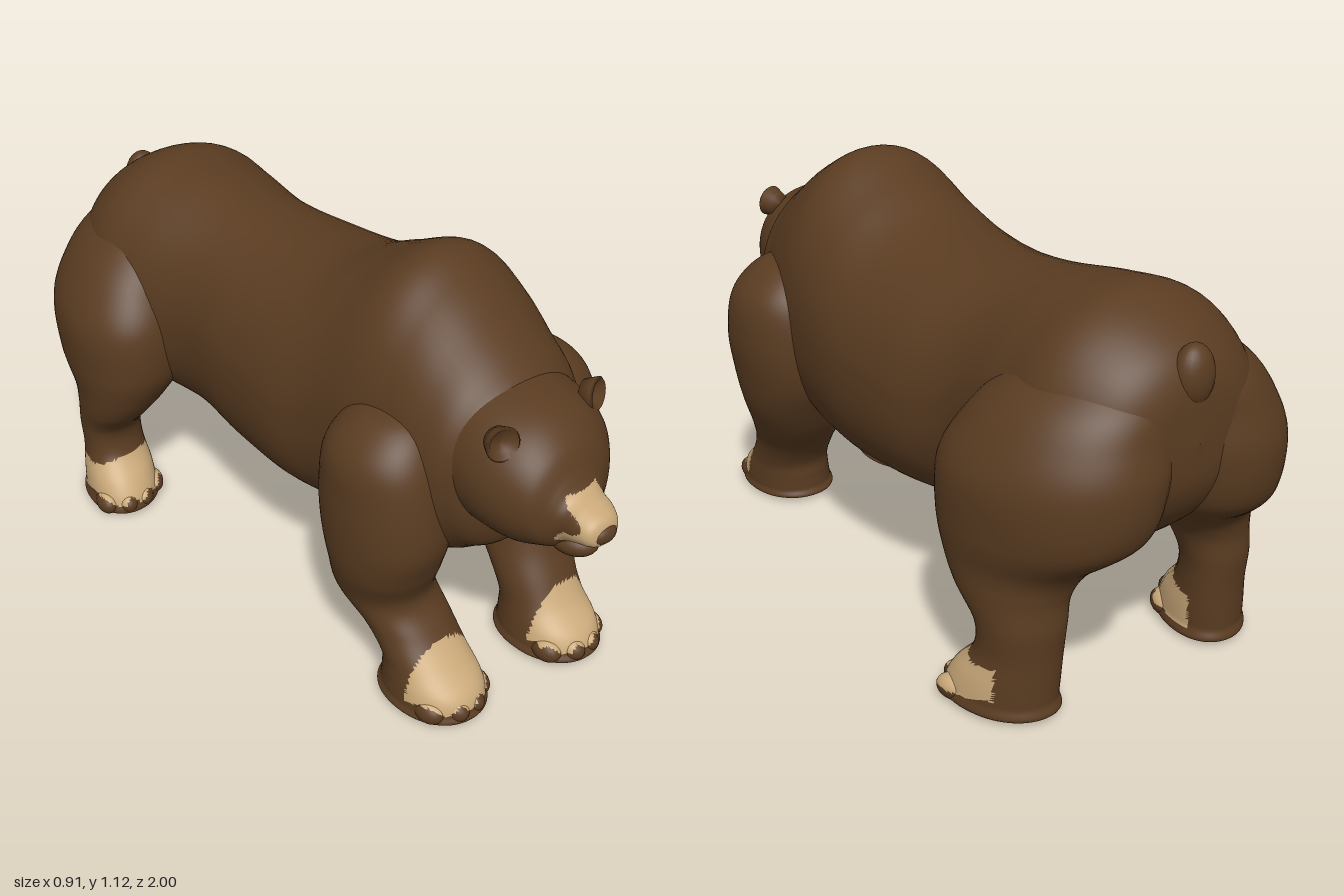
import * as THREE from 'three';

const brown = new THREE.MeshStandardMaterial({ color: 0x5a3c21 });
brown.name = 'brown fur';
const tan = new THREE.MeshStandardMaterial({ color: 0xcaa97a });
tan.name = 'tan fur';

// Smooth skin through elliptical sections [t, c1, c2, r1, r2]; along z, or down y for legs
function loft(sections, axis, power, topPower = power, rows = 110, cols = 60) {
  const centres = new THREE.CatmullRomCurve3(
    sections.map(([t, a, b]) => new THREE.Vector3(a, b, t)), false, 'catmullrom', 0.5);
  const radii = new THREE.CatmullRomCurve3(
    sections.map(([, , , a, b]) => new THREE.Vector3(a, b, 0)), false, 'catmullrom', 0.5);
  const pos = [], index = [];
  for (let i = 0; i <= rows; i++) {
    const c = centres.getPoint(i / rows), r = radii.getPoint(i / rows);
    for (let j = 0; j < cols; j++) {
      const k = j / cols * Math.PI * 2;
      const bulge = v => Math.sign(v) * Math.abs(v) ** (Math.sin(k) > 0 ? topPower : power);
      const a = c.x + Math.max(r.x, 0.0005) * bulge(Math.cos(k));
      const b = c.y + Math.max(r.y, 0.0005) * bulge(Math.sin(k));
      if (axis === 'z') pos.push(a, b, c.z);
      else pos.push(a, Math.max(c.z, 0), b);
      if (i < rows) {
        const p = i * cols + j, q = i * cols + (j + 1) % cols;
        index.push(p, q, q + cols, p, q + cols, p + cols);
      }
    }
  }
  const geo = new THREE.BufferGeometry();
  geo.setAttribute('position', new THREE.Float32BufferAttribute(pos, 3));
  geo.setIndex(index);
  geo.computeVertexNormals();
  return geo;
}

// Sort faces into brown and tan groups by where their centre lies
function paint(geo, isTan) {
  const p = geo.attributes.position, idx = geo.index.array, sets = [[], []];
  for (let i = 0; i < idx.length; i += 3) {
    const f = [idx[i], idx[i + 1], idx[i + 2]];
    const mid = get => (get(f[0]) + get(f[1]) + get(f[2])) / 3;
    const t = isTan(mid(n => p.getX(n)), mid(n => p.getY(n)), mid(n => p.getZ(n)));
    sets[t ? 1 : 0].push(...f);
  }
  geo.setIndex([...sets[0], ...sets[1]]);
  geo.addGroup(0, sets[0].length, 0);
  geo.addGroup(sets[0].length, sets[1].length, 1);
  return geo;
}

function ball(x, y, z, rx, ry, rz) {
  return new THREE.SphereGeometry(1, 24, 16).scale(rx, ry, rz).translate(x, y, z);
}

export function createModel() {
  const bear = new THREE.Group();
  bear.name = 'bear';
  const add = (name, geo, mat = brown, parent = bear) => {
    const m = new THREE.Mesh(geo, mat);
    m.name = name;
    parent.add(m);
    return m;
  };

  // Trunk from rump to neck, with the shoulder hump
  add('body', loft([
    [-0.975, 0, 0.72, 0, 0], [-0.96, 0, 0.73, 0.15, 0.14], [-0.89, 0, 0.72, 0.255, 0.24],
    [-0.75, 0, 0.70, 0.325, 0.328], [-0.6, 0, 0.685, 0.315, 0.333], [-0.4, 0.012, 0.662, 0.285, 0.325],
    [-0.2, 0.03, 0.64, 0.317, 0.335], [0, 0.035, 0.643, 0.333, 0.352], [0.15, 0.042, 0.672, 0.32, 0.385],
    [0.3, 0.035, 0.705, 0.307, 0.415], [0.42, 0.025, 0.705, 0.29, 0.37], [0.52, 0.01, 0.69, 0.272, 0.325],
    [0.61, 0, 0.69, 0.245, 0.265], [0.68, -0.01, 0.69, 0.18, 0.195], [0.71, -0.01, 0.69, 0, 0],
  ], 'z', 0.86, 0.97));

  // Head, turned slightly to one side, with tan along the bridge and sides of the muzzle
  const muzzleTan = (x, y, z) => z > 0.865 + 0.006 * Math.sin(x * 90) && y > 0.642 && y < 0.757
    && Math.abs(x + 0.058) < 0.078 - 0.35 * Math.max(y - 0.68, 0);
  add('head', paint(loft([
    [0.5, 0, 0.73, 0.2, 0.19], [0.6, -0.01, 0.735, 0.212, 0.19], [0.7, -0.02, 0.73, 0.212, 0.182],
    [0.78, -0.03, 0.72, 0.19, 0.168], [0.84, -0.045, 0.71, 0.148, 0.135],
    [0.875, -0.055, 0.69, 0.102, 0.1], [0.9, -0.06, 0.688, 0.079, 0.068],
    [0.94, -0.065, 0.69, 0.069, 0.051], [0.972, -0.07, 0.688, 0.054, 0.04],
    [0.986, -0.07, 0.684, 0.034, 0.026], [0.99, -0.07, 0.682, 0, 0],
  ], 'z', 0.95), muzzleTan), [brown, tan]);
  add('nose', ball(-0.07, 0.683, 0.974, 0.039, 0.026, 0.026));
  add('lowerJaw', ball(-0.066, 0.617, 0.885, 0.054, 0.038, 0.07));

  // Cupped ears
  const earProfile = [[0, -0.04], [0.035, -0.03], [0.047, 0.004], [0.041, 0.01], [0.025, -0.008], [0, -0.012]]
    .map(([x, y]) => new THREE.Vector2(x, y));
  for (const s of [-1, 1]) {
    const ear = add(s > 0 ? 'leftEar' : 'rightEar', new THREE.LatheGeometry(earProfile, 24));
    ear.rotation.set(Math.PI / 2 - 0.15, 0, -s * 0.3);
    ear.scale.set(0.95, 1, 0.95);
    ear.position.set(-0.03 + s * 0.158, 0.868, 0.755);
  }

  // Tail
  add('tail', ball(0, 0.875, -0.938, 0.055, 0.078, 0.044));

  // Legs: sections run down from hip or shoulder to the sole
  const frontSections = [
    [0.83, 0.22, 0.42, 0, 0], [0.8, 0.23, 0.42, 0.09, 0.1], [0.72, 0.255, 0.42, 0.14, 0.158],
    [0.6, 0.265, 0.425, 0.145, 0.18], [0.48, 0.26, 0.43, 0.145, 0.178], [0.38, 0.25, 0.445, 0.14, 0.15],
    [0.28, 0.23, 0.485, 0.125, 0.13], [0.2, 0.215, 0.54, 0.113, 0.112], [0.13, 0.213, 0.585, 0.11, 0.112],
    [0.08, 0.213, 0.615, 0.116, 0.138], [0.04, 0.213, 0.625, 0.12, 0.148],
    [0.012, 0.213, 0.625, 0.116, 0.145], [0.008, 0.213, 0.625, 0, 0],
  ];
  const hindSections = [
    [0.93, 0.1, -0.75, 0, 0], [0.9, 0.11, -0.75, 0.1, 0.12], [0.83, 0.15, -0.755, 0.17, 0.19],
    [0.75, 0.2, -0.745, 0.19, 0.23], [0.64, 0.23, -0.733, 0.21, 0.265], [0.5, 0.245, -0.72, 0.195, 0.25],
    [0.4, 0.28, -0.69, 0.145, 0.175], [0.33, 0.305, -0.7, 0.115, 0.135], [0.25, 0.315, -0.735, 0.098, 0.1],
    [0.17, 0.315, -0.73, 0.095, 0.098], [0.1, 0.318, -0.7, 0.105, 0.125], [0.05, 0.32, -0.685, 0.108, 0.138],
    [0.012, 0.32, -0.685, 0.106, 0.135], [0.008, 0.32, -0.685, 0, 0],
  ];
  // dx and dz give the stride offset at a height; splay turns the front of the leg outwards
  const leg = (name, s, sections, { dx, dz, splay, edge, top, toeZ }) => {
    const group = new THREE.Group();
    group.name = name;
    bear.add(group);
    const placed = sections.map(([y, cx, cz, ...r]) => [y, s * cx + dx(y), cz + dz(y), ...r]);
    const [, footX, footZ] = placed.at(-1);
    const shear = new THREE.Matrix4().set(
      1, 0, s * splay, -s * splay * -0.72, 0, 1, 0, 0, 0, 0, 1, 0, 0, 0, 0, 1);
    // Tan over the top of the paw, with a ragged brown edge at the toes
    const isTan = (x, y, z) => z > edge && y > 0.052 + 0.012 * Math.sin(x * 95)
      && y < top - 2.5 * (x - footX) ** 2;
    const addPainted = (part, geo) =>
      add(part, paint(geo.applyMatrix4(shear), isTan), [brown, tan], group);
    addPainted('limb', loft(placed, 'y', 0.94));
    for (let i = 0; i < 4; i++) {
      const u = (i - 1.5) / 1.5;
      addPainted('toe', ball(footX + u * 0.082, 0.038, footZ + toeZ - 0.04 * u * u, 0.034, 0.034, 0.048));
    }
  };
  for (const s of [-1, 1]) {
    const side = s > 0 ? 'left' : 'right', back = s < 0;
    leg(side + 'FrontLeg', s, frontSections, {
      dx: y => THREE.MathUtils.lerp(back ? -0.002 : -0.033, 0.02, Math.min(y / 0.6, 1)),
      dz: y => back ? -0.065 * Math.exp(-(((y - 0.27) / 0.1) ** 2)) - 0.04 * Math.max(1 - y / 0.4, 0) : 0,
      splay: 0, edge: back ? 0.605 : 0.655, top: 0.19, toeZ: 0.115,
    });
    leg(side + 'HindLeg', s, hindSections, {
      dx: () => 0, dz: () => 0, splay: 0.2, edge: -0.755, top: 0.165, toeZ: 0.105,
    });
  }
  return bear;
}
